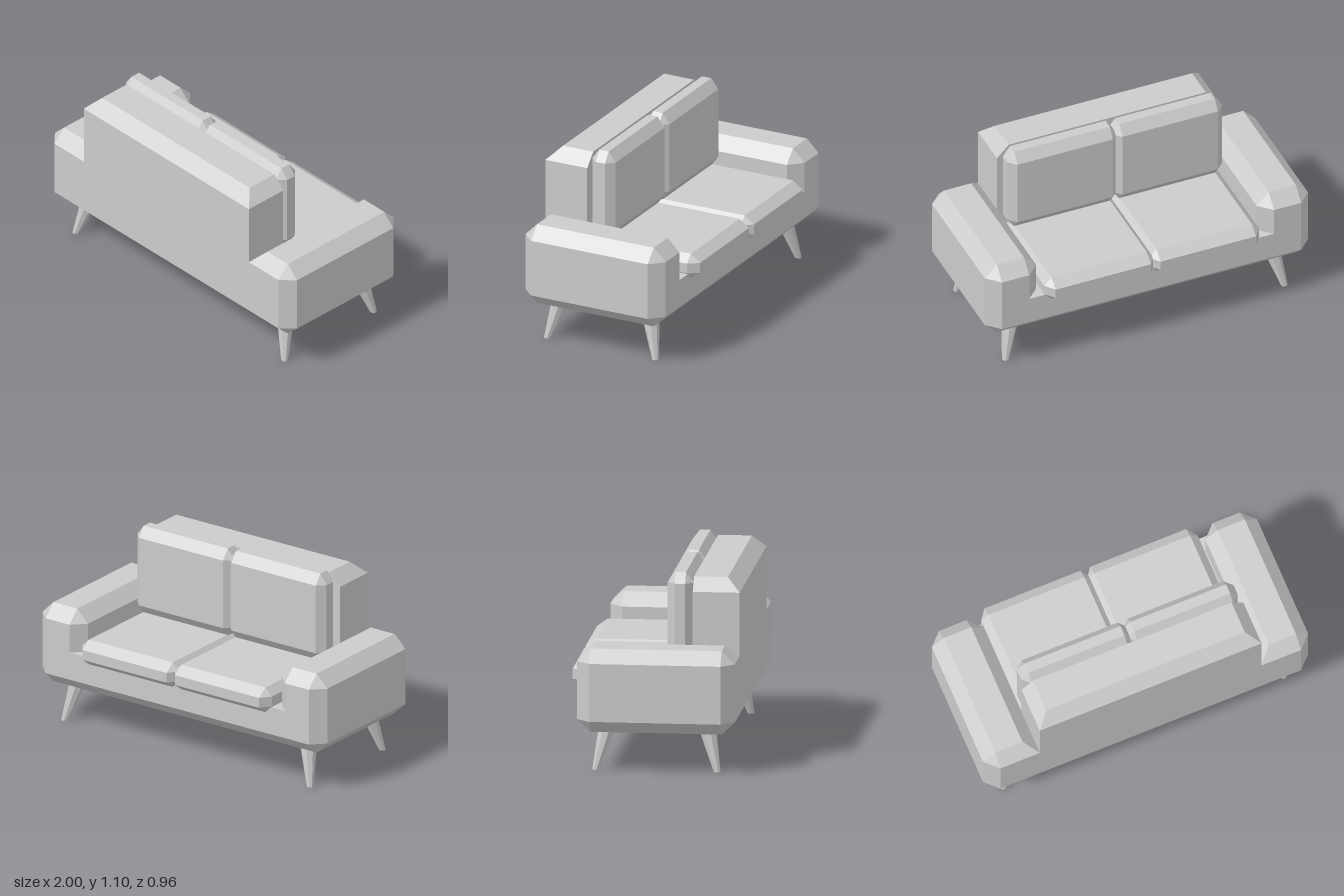
import * as THREE from 'three';
import { ConvexGeometry } from 'three/addons/geometries/ConvexGeometry.js';

const material = new THREE.MeshStandardMaterial({ color: 0xcccccc, flatShading: true });

function addPart(parent, name, geometry) {
  const mesh = new THREE.Mesh(geometry, material);
  mesh.name = name;
  parent.add(mesh);
  return mesh;
}

// Convex solid from points given as [x, y, z]
const hull = (points) => new ConvexGeometry(points.map((p) => new THREE.Vector3(...p)));

// Box with every edge bevelled; c holds the bevel along each axis
function bevelBox(min, max, c) {
  const points = [];
  for (let i = 0; i < 8; i++) {
    const side = [i & 1, (i >> 1) & 1, (i >> 2) & 1];
    const corner = side.map((s, a) => (s ? max[a] : min[a]));
    const inner = side.map((s, a) => (s ? max[a] - c[a] : min[a] + c[a]));
    for (let a = 0; a < 3; a++) {
      const p = [...inner];
      p[a] = corner[a];
      points.push(p);
    }
  }
  return hull(points);
}

export function createModel() {
  const sofa = new THREE.Group();
  sofa.name = 'sofa';
  const B = 0.075; // frame bevel
  const zFront = -0.42, zBack = 0.48; // the seat opens toward -z
  const floorY = 0.465, armTop = 0.71, bevelY = 0.635;

  // Base: bevelled underneath and at the upright corners, flat on top
  const base = [];
  for (const s of [-1, 1]) {
    for (const [z, zin] of [[zFront, zFront + B], [zBack, zBack - B]]) {
      base.push([s * (1 - B), 0.228, zin]);
      for (const y of [0.3, floorY]) base.push([s, y, zin], [s * (1 - B), y, z]);
    }
  }
  addPart(sofa, 'base', hull(base));

  // Arms: bevelled top and corners, square where they join the backrest
  for (const s of [-1, 1]) {
    const inX = 0.682, pts = [];
    for (const x of [inX + B, 1 - B])
      for (const z of [zFront + B, zBack - B]) pts.push([x, armTop, z]);
    for (const y of [floorY, bevelY]) {
      pts.push([1, y, zFront + B], [1 - B, y, zFront], [inX + B, y, zFront], [inX, y, zFront + B]);
      pts.push([1, y, zBack - B], [1 - B, y, zBack], [inX, y, zBack]);
    }
    addPart(sofa, s > 0 ? 'leftArm' : 'rightArm', hull(pts.map(([x, y, z]) => [s * x, y, z])));
  }

  // Backrest: bevelled along the rear and side top edges
  const back = [];
  for (const s of [-1, 1]) {
    for (const y of [floorY, 1.002]) back.push([s * 0.682, y, 0.212], [s * 0.682, y, zBack]);
    back.push([s * 0.61, 1.077, 0.212], [s * 0.61, 1.077, zBack - B]);
  }
  addPart(sofa, 'backrest', hull(back));

  // Seat and back cushions, meeting in a notch at the middle
  for (const s of [-1, 1]) {
    const side = s > 0 ? 'left' : 'right';
    const x0 = s > 0 ? -0.015 : -0.665, x1 = s > 0 ? 0.665 : 0.015;
    addPart(sofa, side + 'SeatCushion',
      bevelBox([x0, 0.427, -0.48], [x1, 0.577, 0.21], [0.045, 0.045, 0.06]));
    addPart(sofa, side + 'BackCushion',
      bevelBox([x0, 0.57, 0.062], [x1, 1.103, 0.212], [0.045, 0.06, 0.045]));
  }

  // Tapered legs, sheared so the feet splay outward
  for (const sx of [-1, 1]) {
    for (const [top, foot] of [[0.312, 0.372], [-0.262, -0.322]]) {
      const h = 0.235;
      const leg = new THREE.CylinderGeometry(0.051, 0.02, h, 8);
      leg.rotateY(Math.PI / 8);
      leg.translate(0, h / 2, 0);
      const pos = leg.attributes.position;
      for (let i = 0; i < pos.count; i++) {
        const t = pos.getY(i) / h;
        pos.setX(i, pos.getX(i) + sx * THREE.MathUtils.lerp(0.862, 0.807, t));
        pos.setZ(i, pos.getZ(i) + THREE.MathUtils.lerp(foot, top, t));
      }
      leg.computeVertexNormals();
      addPart(sofa, (top < 0 ? 'front' : 'rear') + (sx > 0 ? 'Left' : 'Right') + 'Leg', leg);
    }
  }
  return sofa;
}
